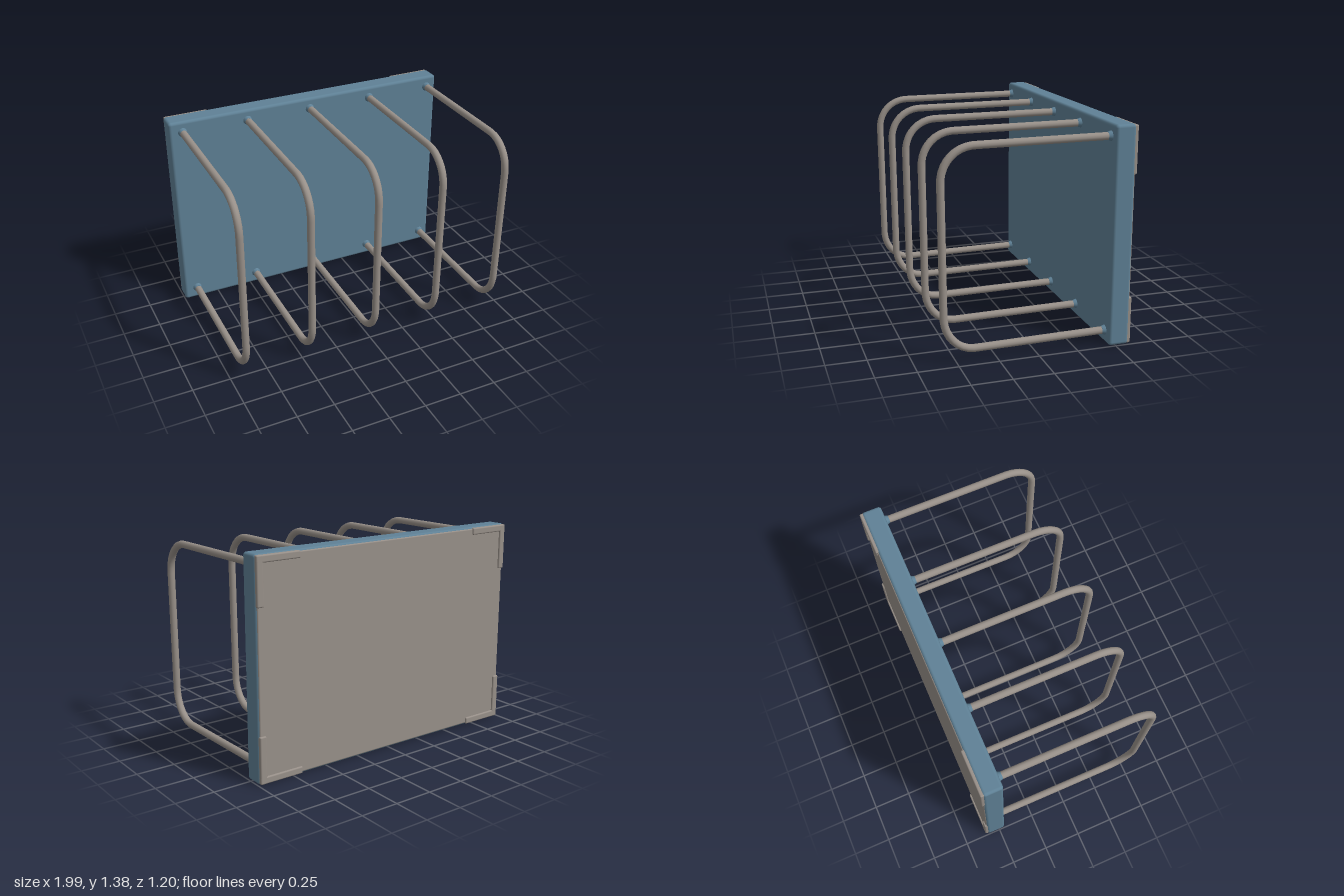
import * as THREE from 'three';
import { RoundedBoxGeometry } from 'three/addons/geometries/RoundedBoxGeometry.js';

const blue = new THREE.MeshStandardMaterial({ color: 0x5f8196 });
const worn = new THREE.MeshStandardMaterial({ color: 0x989089 });

function part(name, geometry, material, x = 0, y = 0, z = 0) {
  const mesh = new THREE.Mesh(geometry, material);
  mesh.name = name;
  mesh.position.set(x, y, z);
  return mesh;
}

// Side profile of one rod: out from the panel, round two bends and back
function rodPath() {
  const v = (y, z) => new THREE.Vector3(0, y, z);
  const path = new THREE.CurvePath();
  path.add(new THREE.LineCurve3(v(1.315, -0.5), v(1.308, 0.38)));
  path.add(new THREE.CubicBezierCurve3(v(1.308, 0.38), v(1.306, 0.49), v(1.22, 0.58), v(1.10, 0.579)));
  path.add(new THREE.LineCurve3(v(1.10, 0.579), v(0.29, 0.571)));
  path.add(new THREE.CubicBezierCurve3(v(0.29, 0.571), v(0.18, 0.57), v(0.08, 0.49), v(0.08, 0.38)));
  path.add(new THREE.LineCurve3(v(0.08, 0.38), v(0.092, -0.5)));
  return path;
}

export function createModel() {
  const model = new THREE.Group();
  model.name = 'wallRack';

  // Back panel with softened edges, and its worn rear face
  model.add(part('panel', new RoundedBoxGeometry(1.99, 1.38, 0.13, 3, 0.02), blue, 0, 0.70, -0.522));
  model.add(part('panelRearFace', new RoundedBoxGeometry(1.97, 1.36, 0.02, 2, 0.009), worn, 0, 0.70, -0.581));

  // Thin raised lips along the rear corners
  for (const sx of [-1, 1]) {
    for (const sy of [-1, 1]) {
      const corner = new THREE.Group();
      corner.name = 'rearCornerLip';
      corner.add(part('lipAcross', new RoundedBoxGeometry(0.3, 0.045, 0.03, 2, 0.009), worn,
        sx * 0.84, 0.70 + sy * 0.662, -0.587));
      corner.add(part('lipUpright', new RoundedBoxGeometry(0.045, 0.3, 0.03, 2, 0.009), worn,
        sx * 0.967, 0.70 + sy * 0.535, -0.587));
      model.add(corner);
    }
  }

  // Five bent rods with small weld collars at the panel
  const rodGeometry = new THREE.TubeGeometry(rodPath(), 90, 0.024, 12, false);
  const collarGeometry = new THREE.CylinderGeometry(0.024, 0.032, 0.025, 16);
  collarGeometry.rotateX(Math.PI / 2);
  [-0.905, -0.455, 0, 0.455, 0.92].forEach((x) => {
    const rod = new THREE.Group();
    rod.name = 'rod';
    rod.position.x = x;
    rod.add(part('bentRod', rodGeometry, worn));
    for (const y of [1.315, 0.092]) {
      rod.add(part('weldCollar', collarGeometry, blue, 0, y, -0.447));
    }
    model.add(rod);
  });

  return model;
}
